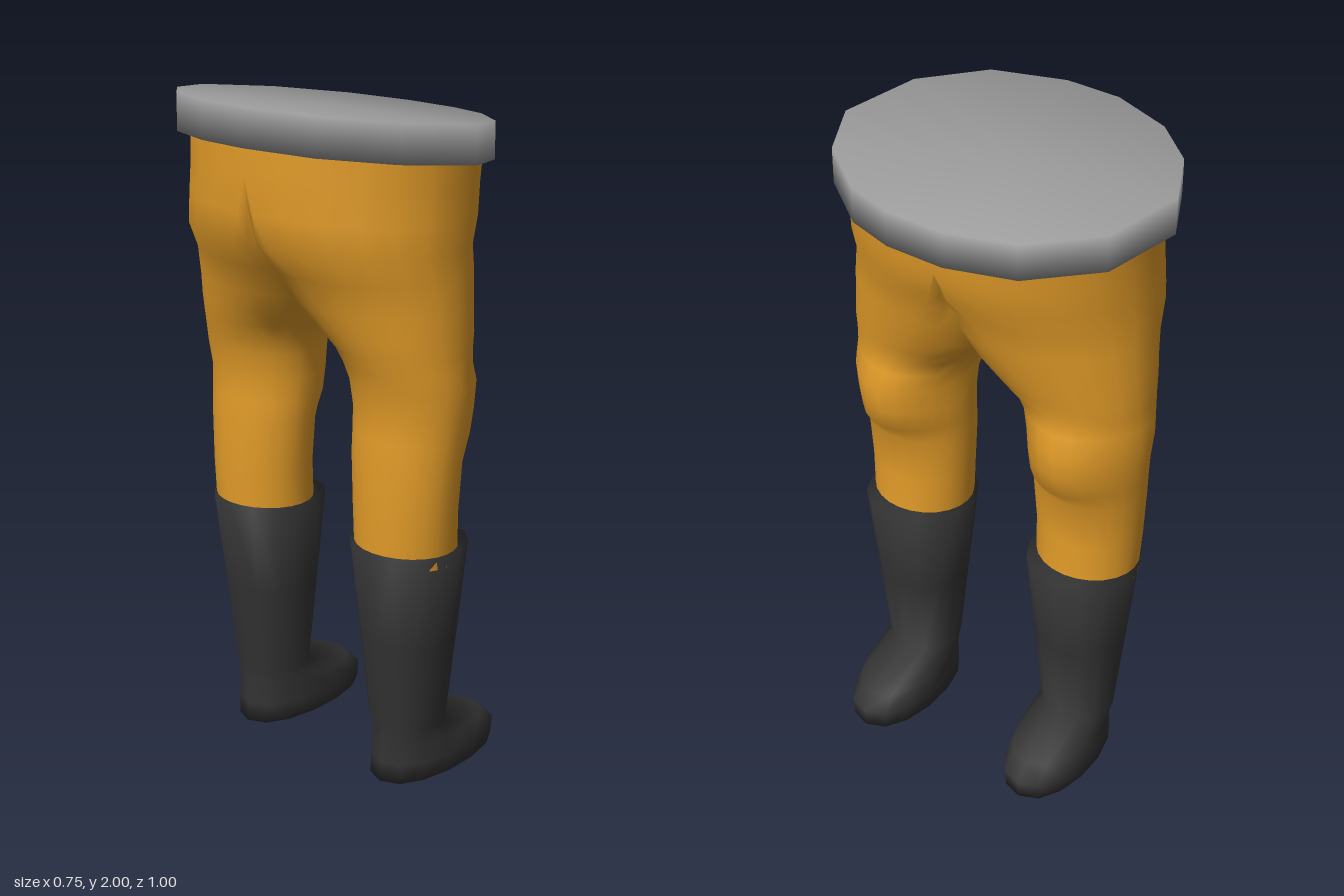
import * as THREE from 'three';
import { mergeVertices } from 'three/addons/utils/BufferGeometryUtils.js';

// Joins closed rings of points (bottom to top) into one smooth skin.
// Faces lying wholly in the middle plane z = 0 are left out when openMiddle is set.
function loft(rings, { capBottom = false, capTop = false, openMiddle = false } = {}) {
  const pos = [];
  const tri = (a, b, c) => {
    if (openMiddle && [a, b, c].every((p) => Math.abs(p.z) < 1e-5)) return;
    for (const p of [a, b, c]) pos.push(p.x, p.y, p.z);
  };
  const n = rings[0].length;
  for (let i = 0; i < rings.length - 1; i++) {
    for (let j = 0; j < n; j++) {
      const k = (j + 1) % n, lo = rings[i], hi = rings[i + 1];
      tri(lo[j], hi[j], lo[k]);
      tri(lo[k], hi[j], hi[k]);
    }
  }
  const cap = (ring, up) => {
    const c = ring.reduce((s, p) => s.add(p), new THREE.Vector3()).divideScalar(n);
    for (let j = 0; j < n; j++) {
      const k = (j + 1) % n;
      if (up) tri(c, ring[k], ring[j]);
      else tri(c, ring[j], ring[k]);
    }
  };
  if (capBottom) cap(rings[0], false);
  if (capTop) cap(rings[rings.length - 1], true);
  return pos;
}

// Mirrors a triangle list across z = 0, keeping faces outward
function mirrored(pos) {
  const out = [];
  for (let i = 0; i < pos.length; i += 9) {
    for (const v of [0, 6, 3]) out.push(pos[i + v], pos[i + v + 1], -pos[i + v + 2]);
  }
  return out;
}

function smoothMesh(name, pos, color) {
  let g = new THREE.BufferGeometry();
  g.setAttribute('position', new THREE.Float32BufferAttribute(pos, 3));
  g = mergeVertices(g, 1e-4);
  g.computeVertexNormals();
  const mesh = new THREE.Mesh(g, new THREE.MeshStandardMaterial({ color }));
  mesh.name = name;
  return mesh;
}

const angles = (n) => Array.from({ length: n }, (_, j) => (j / n) * Math.PI * 2);

// Trouser leg: y, back x, front x, centre z, inner reach, outer reach, knee bulge
const LEG = [
  [0.70, -0.135, 0.145, 0.29, 0.155, 0.155, 0],
  [0.85, -0.138, 0.135, 0.29, 0.16, 0.163, 0],
  [1.00, -0.135, 0.140, 0.29, 0.172, 0.172, 0],
  [1.07, -0.130, 0.155, 0.29, 0.176, 0.178, 0.045],
  [1.14, -0.125, 0.160, 0.29, 0.180, 0.184, 0.056],
  [1.22, -0.140, 0.165, 0.29, 0.185, 0.190, 0.060],
  [1.27, -0.155, 0.170, 0.28, 0.190, 0.195, 0.030],
  [1.32, -0.175, 0.190, 0.26, 0.195, 0.212, 0.005],
  [1.37, -0.195, 0.210, 0.23, 0.232, 0.242, 0],
  [1.44, -0.222, 0.230, 0.18, 0.260, 0.288, 0],
  [1.53, -0.262, 0.260, 0.12, 0.260, 0.343, 0],
  [1.61, -0.322, 0.283, 0.07, 0.200, 0.390, 0],
  [1.69, -0.337, 0.325, 0.03, 0.100, 0.428, 0],
  [1.79, -0.342, 0.345, 0, 0, 0.455, 0],
  [1.88, -0.340, 0.352, 0, 0, 0.460, 0],
];

function trouserHalf() {
  const rings = LEG.map(([y, xb, xf, zc, inner, outer, knee]) => angles(24).map((t) => {
    const c = Math.cos(t), s = Math.sin(t);
    const x = (xb + xf) / 2 + ((xf - xb) / 2) * c + knee * Math.max(0, c) ** 3;
    const z = Math.max(0, zc + (s > 0 ? outer : inner) * s);
    const slope = 0.1 * Math.max(0, (y - 1.6) / 0.28); // follows the tilted waist
    return new THREE.Vector3(x, y - slope * x, z < 1e-5 ? 0 : z);
  }));
  return loft(rings, { openMiddle: true });
}

// Boot: heel y, toe y, back x, front x, half width, centre z
const BOOT = [
  [0.00, 0.025, -0.09, 0.370, 0.118, 0.283],
  [0.06, 0.080, -0.085, 0.372, 0.124, 0.283],
  [0.13, 0.125, -0.08, 0.320, 0.118, 0.283],
  [0.18, 0.172, -0.08, 0.132, 0.112, 0.285],
  [0.45, 0.450, -0.113, 0.160, 0.138, 0.286],
  [0.74, 0.740, -0.15, 0.190, 0.165, 0.287],
];

function boot() {
  const rings = BOOT.map(([yh, yt, xb, xf, w, zc]) => angles(14).map((t) => {
    const c = Math.cos(t), s = Math.sin(t);
    const z = Math.sign(s) * Math.abs(s) ** 0.85 * w;
    const x = (xb + xf) / 2 + ((xf - xb) / 2) * c;
    return new THREE.Vector3(x, yh + (yt - yh) * (c + 1) / 2, zc + z);
  }));
  return loft(rings, { capBottom: true, capTop: true });
}

// Waistband outline (x, z), going round from the front
const WAIST = [
  [0.375, -0.05], [0.365, 0.13], [0.32, 0.27], [0.195, 0.425], [0.03, 0.5], [-0.19, 0.425], [-0.33, 0.26],
  [-0.38, 0.04], [-0.37, -0.13], [-0.3, -0.31], [-0.19, -0.43], [-0.03, -0.5], [0.19, -0.43], [0.33, -0.25],
];

function waistband() {
  const ring = (y, slope) => WAIST.map(([x, z]) => new THREE.Vector3(x, y - slope * x, z));
  return loft([ring(1.853, 0.1), ring(1.96, 0.107)], { capBottom: true, capTop: true });
}

export function createModel() {
  const model = new THREE.Group();
  model.name = 'legs';
  const half = trouserHalf();
  const bootPart = boot();
  model.add(
    smoothMesh('trousers', half.concat(mirrored(half)), 0xe09a28),
    smoothMesh('bootA', bootPart, 0x333333),
    smoothMesh('bootB', mirrored(bootPart), 0x333333),
    smoothMesh('waistband', waistband(), 0x999999),
  );
  return model;
}
